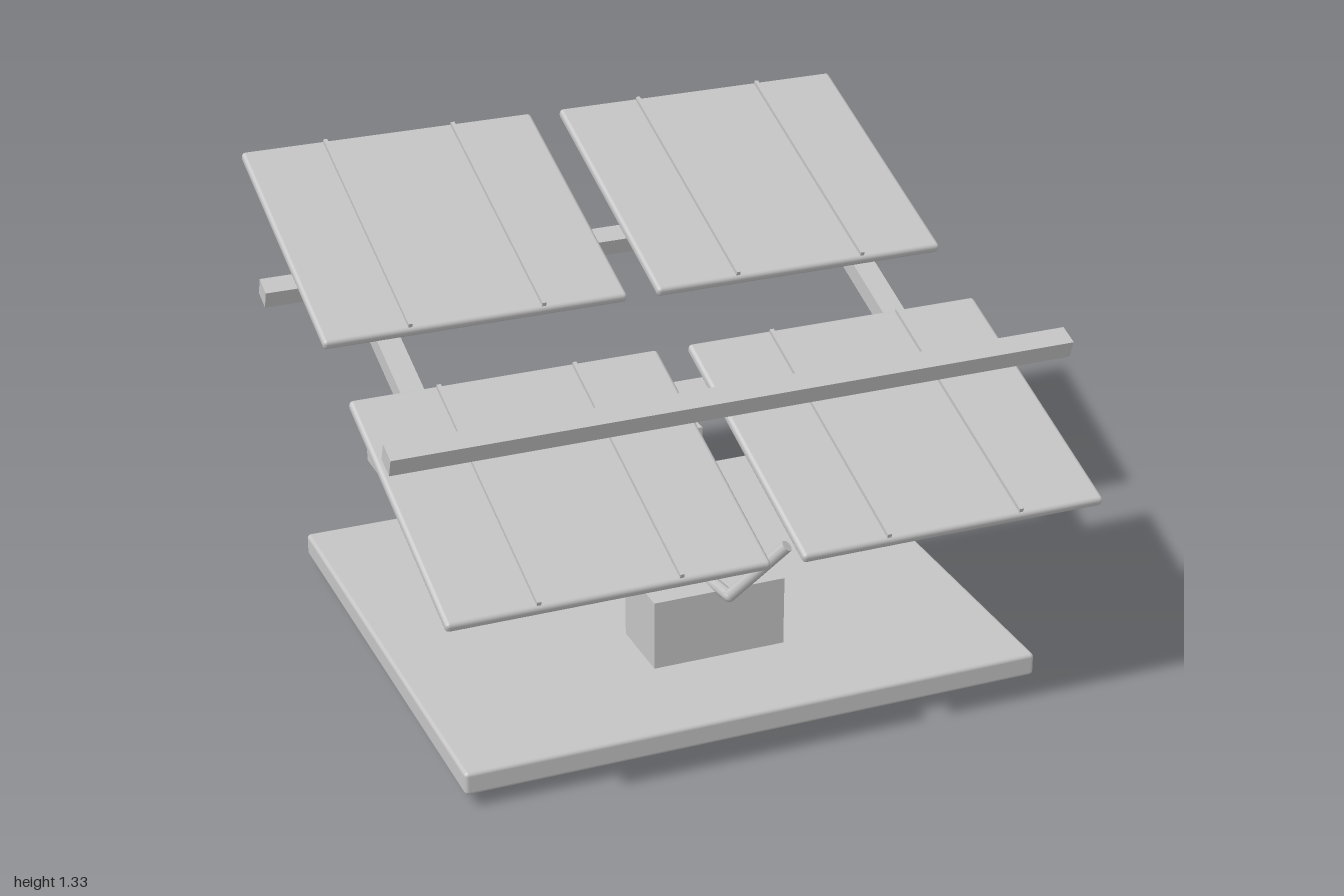
import * as THREE from 'three';
import { RoundedBoxGeometry } from 'three/addons/geometries/RoundedBoxGeometry.js';

const TILT = THREE.MathUtils.degToRad(19.5);

export function createModel() {
  const model = new THREE.Group();
  model.name = 'solarArray';
  const grey = new THREE.MeshStandardMaterial({ color: 0xc4c4c4 });
  grey.name = 'light grey';

  const add = (name, geometry, x, y, z, parent = model) => {
    const mesh = new THREE.Mesh(geometry, grey);
    mesh.name = name;
    mesh.position.set(x, y, z);
    parent.add(mesh);
    return mesh;
  };
  const box = (name, w, h, d, x, y, z, parent) =>
    add(name, new THREE.BoxGeometry(w, h, d), x, y, z, parent);

  // Base plate on four feet
  add('basePlate', new RoundedBoxGeometry(1.73, 0.07, 1.51, 2, 0.012), 0, 0.075, 0);
  for (const sx of [-1, 1]) {
    for (const sz of [-1, 1]) box('foot', 0.115, 0.05, 0.11, sx * 0.727, 0.025, sz * 0.587);
  }

  // Post, cross beam and control box
  box('post', 0.2, 0.58, 0.2, 0, 0.39, 0);
  box('crossBeam', 1.72, 0.08, 0.12, 0, 0.72, 0);
  box('controlBox', 0.4, 0.21, 0.22, 0, 0.245, 0.36);

  // Bent lever coming out of the control box
  const radius = 0.018;
  const rod = (a, b) => {
    const mid = a.clone().add(b).multiplyScalar(0.5);
    const dir = b.clone().sub(a);
    const mesh = add('lever', new THREE.CylinderGeometry(radius, radius, dir.length(), 8), mid.x, mid.y, mid.z);
    mesh.quaternion.setFromUnitVectors(new THREE.Vector3(0, 1, 0), dir.normalize());
  };
  const bend = new THREE.Vector3(0, 0.367, 0.535);
  rod(new THREE.Vector3(0, 0.335, 0.3), bend);
  rod(bend, new THREE.Vector3(0.128, 0.55, 0.638));
  add('leverJoint', new THREE.SphereGeometry(radius, 8, 6), bend.x, bend.y, bend.z);

  // Two long horizontal rails, turned with the tilt
  for (const sz of [-1, 1]) {
    box('rail', 2, 0.055, 0.065, 0, 1.003, sz * 0.594).rotation.x = TILT;
  }

  // Sloping side bars
  for (const sx of [-1, 1]) {
    box('slopingBar', 0.07, 0.055, 1.6, sx * 0.745, 0.887, 0).rotation.x = TILT;
  }

  // Four tilted panels, each with two thin ribs
  for (const sx of [-1, 1]) {
    for (const sz of [-1, 1]) {
      const panel = new THREE.Group();
      panel.name = 'panel';
      panel.position.set(sx * 0.502, 0.985 - sz * 0.515 * Math.tan(TILT), sz * 0.515);
      panel.rotation.x = TILT;
      model.add(panel);
      add('panelSlab', new RoundedBoxGeometry(0.91, 0.03, 0.86, 2, 0.012), 0, 0, 0, panel);
      for (const x of [-0.2, 0.2]) box('panelRib', 0.012, 0.018, 0.84, x, 0.018, 0, panel);
    }
  }

  return model;
}
